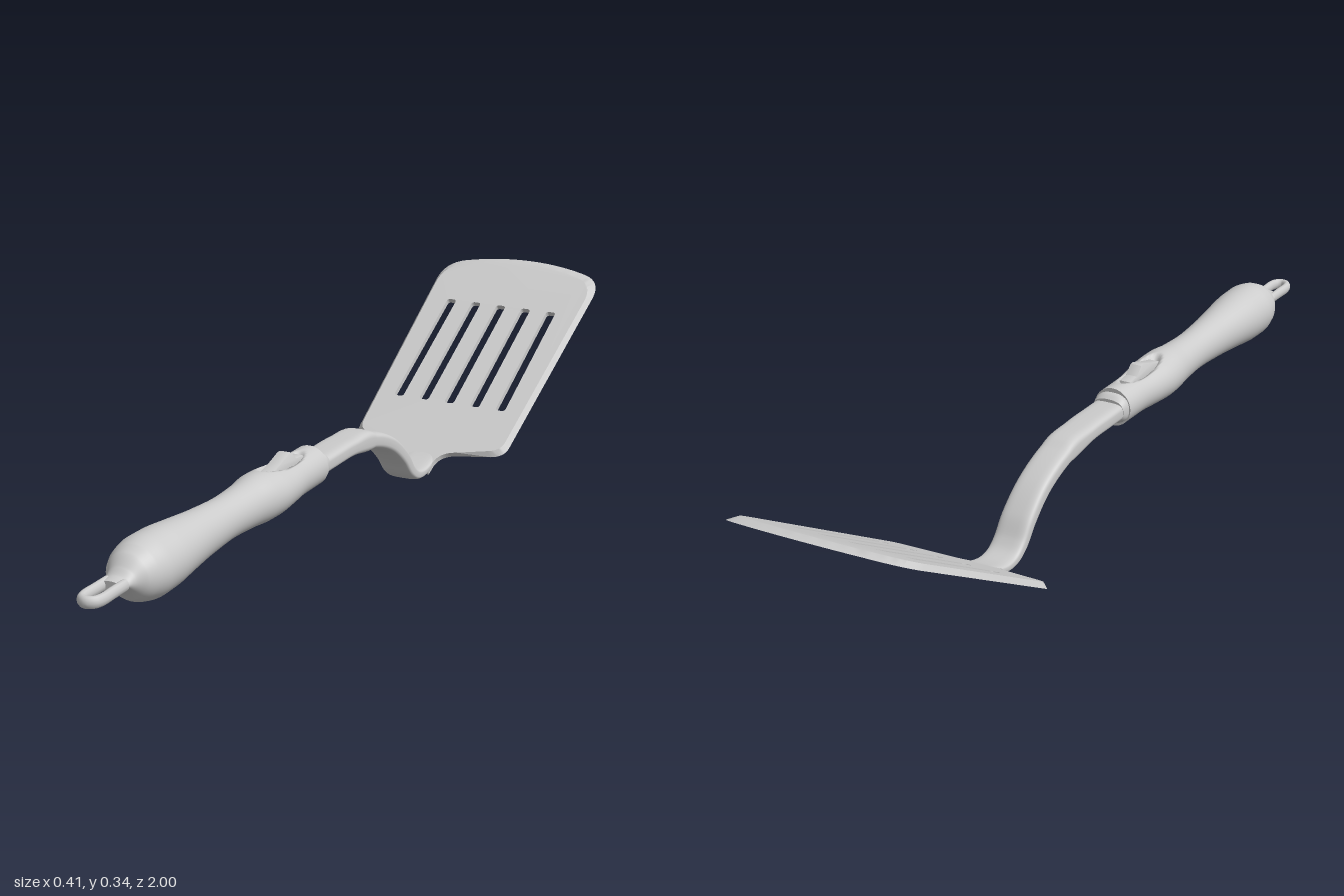
import * as THREE from 'three';
import { toCreasedNormals } from 'three/addons/utils/BufferGeometryUtils.js';

const grey = new THREE.MeshStandardMaterial({ color: 0xcccccc, side: THREE.DoubleSide });

function addPart(group, name, geometry) {
  const mesh = new THREE.Mesh(geometry, grey);
  mesh.name = name;
  group.add(mesh);
  return mesh;
}

// Closed sweep through stations [z, y, halfWidth, halfHeight], running towards -z.
// A power below 1 makes the oval section boxier.
function sweep(stations, steps, sides, power = 1, reshape = null) {
  const path = new THREE.CatmullRomCurve3(stations.map(([z, y]) => new THREE.Vector3(0, y, z)));
  const size = new THREE.CatmullRomCurve3(stations.map(([, , w, h]) => new THREE.Vector3(w, h, 0)));
  const pos = [], index = [];
  const soft = (v) => Math.sign(v) * Math.abs(v) ** power;
  const ring = (t) => {
    const p = path.getPoint(t), d = path.getTangent(t), r = size.getPoint(t);
    for (let j = 0; j < sides; j++) {
      const a = (j / sides) * Math.PI * 2;
      const x = r.x * soft(Math.cos(a)), n = r.y * soft(Math.sin(a));
      const v = new THREE.Vector3(x, p.y - d.z * n, p.z + d.y * n);
      if (reshape) reshape(v, p);
      pos.push(v.x, v.y, v.z);
    }
  };
  for (let i = 0; i <= steps; i++) ring(i / steps);
  for (let i = 0; i < steps; i++) {
    for (let j = 0; j < sides; j++) {
      const k = (j + 1) % sides, a = i * sides + j, b = i * sides + k;
      index.push(a, a + sides, b, b, a + sides, b + sides);
    }
  }
  // End caps with their own vertices so the rims stay sharp
  for (const t of [0, 1]) {
    const start = pos.length / 3, p = path.getPoint(t);
    ring(t);
    pos.push(p.x, p.y, p.z);
    for (let j = 0; j < sides; j++) {
      const a = start + j, b = start + ((j + 1) % sides);
      index.push(start + sides, t ? b : a, t ? a : b);
    }
  }
  const g = new THREE.BufferGeometry();
  g.setAttribute('position', new THREE.Float32BufferAttribute(pos, 3));
  g.setIndex(index);
  g.computeVertexNormals();
  return g;
}

// Slotted blade, drawn flat: x across, y along its length
function bladeGeometry() {
  const s = new THREE.Shape();
  s.moveTo(-0.036, -0.02);
  s.lineTo(0.036, -0.02);
  s.lineTo(0.037, 0.005);
  s.quadraticCurveTo(0.04, 0.04, 0.08, 0.047);
  s.lineTo(0.155, 0.06);
  s.quadraticCurveTo(0.186, 0.066, 0.187, 0.095);
  s.lineTo(0.203, 0.605);
  s.quadraticCurveTo(0.203, 0.665, 0.155, 0.68);
  s.quadraticCurveTo(0.08, 0.704, 0, 0.704);
  s.quadraticCurveTo(-0.08, 0.704, -0.155, 0.68);
  s.quadraticCurveTo(-0.203, 0.665, -0.203, 0.605);
  s.lineTo(-0.187, 0.095);
  s.quadraticCurveTo(-0.186, 0.066, -0.155, 0.06);
  s.lineTo(-0.08, 0.047);
  s.quadraticCurveTo(-0.04, 0.04, -0.037, 0.005);
  s.closePath();

  const w = 0.0115, y0 = 0.193, y1 = 0.528, c = 0.008;
  for (let i = -2; i <= 2; i++) {
    const x = i * 0.064, hole = new THREE.Path();
    hole.moveTo(x - w, y0 + c);
    hole.lineTo(x - w, y1 - c);
    hole.quadraticCurveTo(x - w, y1, x - w + c, y1);
    hole.lineTo(x + w - c, y1);
    hole.quadraticCurveTo(x + w, y1, x + w, y1 - c);
    hole.lineTo(x + w, y0 + c);
    hole.quadraticCurveTo(x + w, y0, x + w - c, y0);
    hole.lineTo(x - w + c, y0);
    hole.quadraticCurveTo(x - w, y0, x - w, y0 + c);
    s.holes.push(hole);
  }
  const g = new THREE.ExtrudeGeometry(s, { depth: 0.012, bevelEnabled: false, curveSegments: 8 });

  // Pull the upper outline inwards to bevel the sides and the far edge
  const p = g.attributes.position;
  for (let i = 0; i < p.count; i++) {
    const x = p.getX(i), y = p.getY(i);
    const inSlot = Math.abs(x) < 0.145 && y > 0.18 && y < 0.54;
    if (p.getZ(i) < 0.006 || inSlot || y < 0.05) continue;
    p.setX(i, x * 0.95);
    if (y > 0.6) p.setY(i, y - 0.025);
    else if (y < 0.1) p.setY(i, y + 0.006);
  }
  return toCreasedNormals(g, 0.5);
}

export function createModel() {
  const model = new THREE.Group();
  model.name = 'slottedTurner';

  // Grip, with a shallow oval recess for the slider
  const recess = (v, p) => {
    const d = Math.hypot(v.x / 0.024, (v.z - 0.265) / 0.09);
    if (v.y > p.y) v.y -= 0.016 * (1 - THREE.MathUtils.smoothstep(d, 0.75, 1));
  };
  addPart(model, 'handle', sweep([
    [0.91, 0.18, 0.026, 0.011], [0.888, 0.18, 0.027, 0.014], [0.872, 0.18, 0.032, 0.026],
    [0.852, 0.18, 0.046, 0.045], [0.83, 0.179, 0.056, 0.056], [0.79, 0.178, 0.063, 0.063],
    [0.74, 0.178, 0.062, 0.062], [0.68, 0.178, 0.056, 0.056], [0.6, 0.177, 0.047, 0.049],
    [0.5, 0.176, 0.042, 0.044], [0.42, 0.175, 0.046, 0.047], [0.37, 0.175, 0.053, 0.051],
    [0.33, 0.174, 0.055, 0.05], [0.28, 0.173, 0.051, 0.046], [0.22, 0.173, 0.044, 0.043],
    [0.142, 0.173, 0.043, 0.043],
  ], 150, 64, 1, recess));

  // Hanging loop
  const loopPath = new THREE.CatmullRomCurve3([
    [-0.0185, 0.89], [-0.0185, 0.93], [-0.0185, 0.968], [-0.013, 0.984], [0, 0.991],
    [0.013, 0.984], [0.0185, 0.968], [0.0185, 0.93], [0.0185, 0.89],
  ].map(([x, z]) => new THREE.Vector3(x, 0, z)));
  const loop = addPart(model, 'hangingLoop', new THREE.TubeGeometry(loopPath, 48, 0.009, 12));
  loop.scale.y = 1.35;
  loop.position.y = 0.18;

  // Thumb slider: wedge cut from a side profile
  const wedge = new THREE.Shape([
    [-0.33, 0.195], [-0.33, 0.214], [-0.29, 0.224], [-0.255, 0.235], [-0.245, 0.234],
    [-0.225, 0.216], [-0.195, 0.213], [-0.19, 0.195],
  ].map(([x, y]) => new THREE.Vector2(x, y)));
  const slider = new THREE.ExtrudeGeometry(wedge, {
    depth: 0.022, bevelSize: 0.002, bevelThickness: 0.003, bevelOffset: -0.002, bevelSegments: 2,
  });
  slider.translate(0, 0, -0.011);
  slider.rotateY(Math.PI / 2);
  addPart(model, 'thumbSlider', toCreasedNormals(slider, 0.6));

  // Collar and bent flat shaft
  addPart(model, 'collar', sweep([
    [0.15, 0.173, 0.04, 0.034], [0.135, 0.173, 0.04, 0.033], [0.122, 0.173, 0.037, 0.025],
  ], 8, 40, 0.8));
  addPart(model, 'shaft', sweep([
    [0.16, 0.172, 0.036, 0.019], [0.08, 0.172, 0.036, 0.019], [0, 0.171, 0.036, 0.019],
    [-0.1, 0.158, 0.036, 0.019], [-0.19, 0.122, 0.036, 0.018], [-0.25, 0.075, 0.037, 0.017],
    [-0.285, 0.034, 0.037, 0.015], [-0.312, 0.016, 0.037, 0.013], [-0.345, 0.011, 0.037, 0.011],
    [-0.385, 0.02, 0.037, 0.009], [-0.43, 0.041, 0.036, 0.006],
  ], 90, 40, 0.55));

  // Blade rises away from the bend
  const blade = addPart(model, 'blade', bladeGeometry());
  blade.rotation.x = Math.atan(0.54) - Math.PI / 2;
  blade.position.set(0, 0.01, -0.38);
  return model;
}
